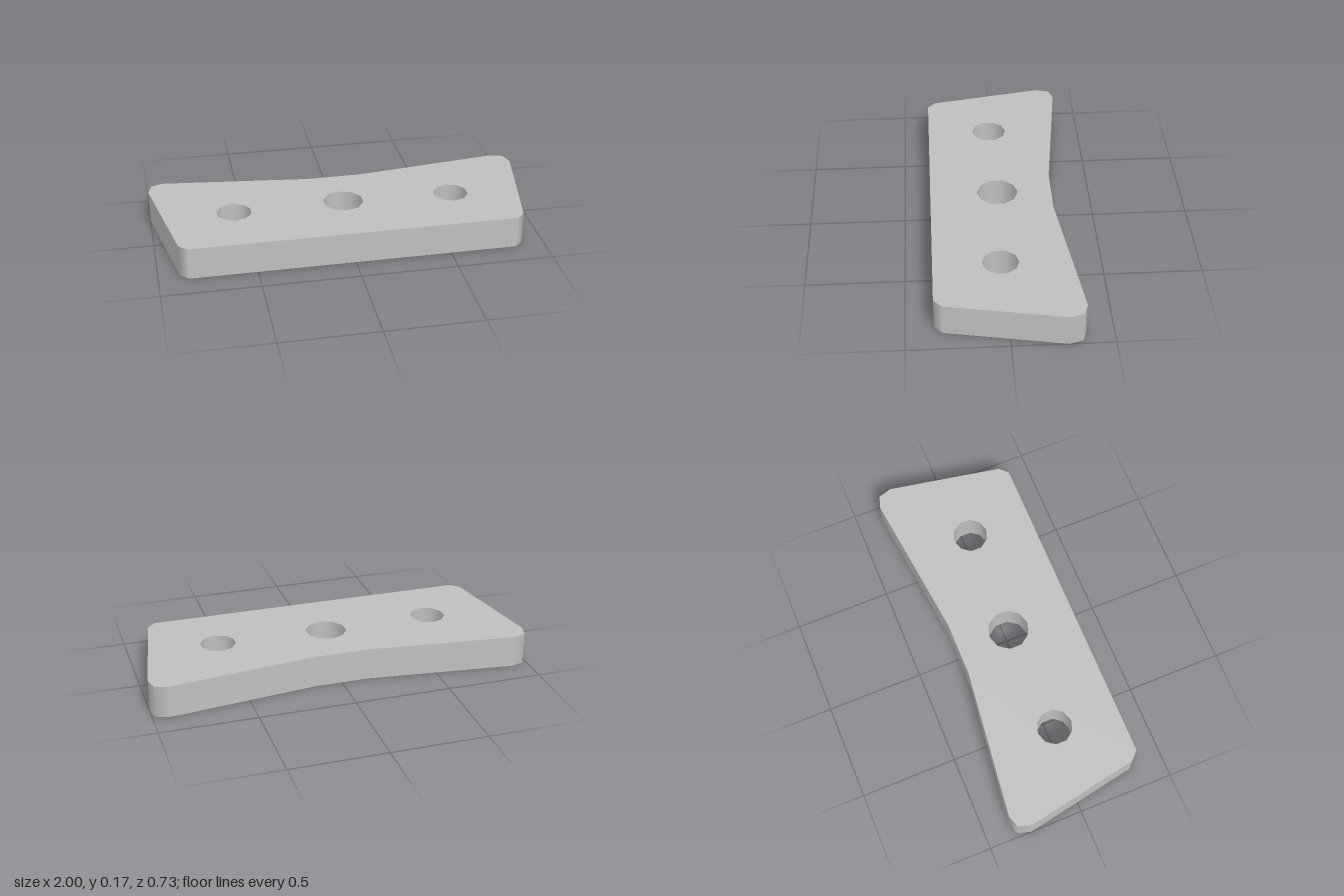
import * as THREE from 'three';

const HEIGHT = 0.168;

// Normal at each corner, dominated by the longer neighbouring edge so that
// long walls stay flat and the short corner facets read as rounded.
function cornerNormals(points) {
  const n = points.length;
  return points.map((p, i) => {
    const sum = new THREE.Vector2();
    for (const [a, b] of [[points[(i + n - 1) % n], p], [p, points[(i + 1) % n]]]) {
      const d = b.clone().sub(a);
      const len = d.length();
      sum.add(new THREE.Vector2(d.y, -d.x).multiplyScalar(len ** 3));
    }
    return { p, normal: sum.normalize() };
  });
}

// Ten-sided hole, wound clockwise
function holePoints(x, z, r) {
  return Array.from({ length: 10 }, (_, i) => {
    const a = Math.PI / 2 - (i * Math.PI) / 5;
    return new THREE.Vector2(x + r * Math.cos(a), -z + r * Math.sin(a));
  });
}

export function createModel() {
  const group = new THREE.Group();
  group.name = 'mountingPlate';
  const grey = new THREE.MeshStandardMaterial({ color: 0xbfbfbf });
  grey.name = 'light grey';

  // Right half of the outline as x, z from front to back, then mirrored
  const half = [[0.847, 0.362], [0.89, 0.32], [1, -0.275], [0.98, -0.345], [0.917, -0.365], [0.142, -0.273]];
  const outline = [
    ...half.map(([x, z]) => new THREE.Vector2(x, -z)),
    ...half.slice().reverse().map(([x, z]) => new THREE.Vector2(-x, -z)),
  ];

  // One large centre hole and two smaller side holes
  const holes = [holePoints(0, 0.01, 0.107), holePoints(-0.578, 0.026, 0.092), holePoints(0.578, 0.026, 0.092)];

  const shape = new THREE.Shape(outline);
  shape.holes = holes.map((h) => new THREE.Path(h));
  const geometry = new THREE.ExtrudeGeometry(shape, { depth: HEIGHT, bevelEnabled: false });

  // Smooth the upright walls only
  const corners = [outline, ...holes].flatMap(cornerNormals);
  const pos = geometry.attributes.position;
  const nor = geometry.attributes.normal;
  for (let i = 0; i < pos.count; i++) {
    if (Math.abs(nor.getZ(i)) > 0.5) continue;
    const here = new THREE.Vector2(pos.getX(i), pos.getY(i));
    const { normal } = corners.find((c) => c.p.distanceTo(here) < 1e-4);
    nor.setXYZ(i, normal.x, normal.y, 0);
  }
  geometry.rotateX(-Math.PI / 2);

  const plate = new THREE.Mesh(geometry, grey);
  plate.name = 'plate';
  group.add(plate);
  return group;
}
